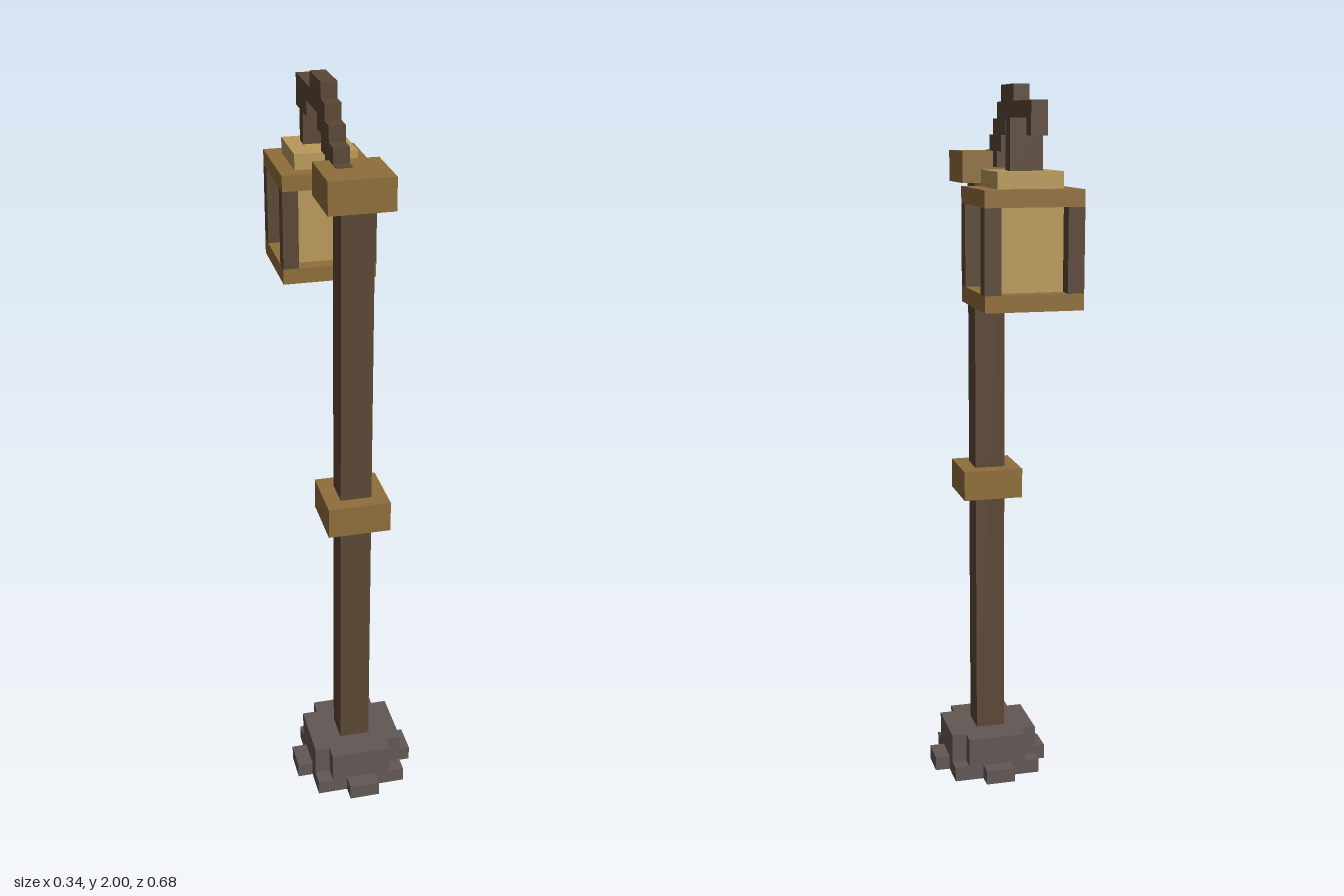
import * as THREE from 'three';

// Everything sits on a cubic grid, 47 cells tall
const U = 2 / 47;

function material(name, color) {
  const m = new THREE.MeshStandardMaterial({ color });
  m.name = name;
  return m;
}

export function createModel() {
  const wood = material('dark wood', 0x5a4735);
  const brass = material('brass', 0x8f6e3a);
  const glow = material('lantern glow', 0xb99a5a);
  const stone = material('stone', 0x625855);

  const model = new THREE.Group();
  model.name = 'lampPost';

  // Box given by its cell ranges along each axis
  function block(parent, name, mat, [x0, x1], [y0, y1], [z0, z1]) {
    const geometry = new THREE.BoxGeometry((x1 - x0) * U, (y1 - y0) * U, (z1 - z0) * U);
    const mesh = new THREE.Mesh(geometry, mat);
    mesh.name = name;
    mesh.position.set((x0 + x1) / 2 * U, (y0 + y1) / 2 * U, (z0 + z1) / 2 * U);
    parent.add(mesh);
  }
  function part(name) {
    const g = new THREE.Group();
    g.name = name;
    model.add(g);
    return g;
  }

  // Stepped stone foot: square slab, four toes and a cross-shaped upper course
  const base = part('base');
  block(base, 'slab', stone, [-3, 3], [0, 1], [1, 7]);
  block(base, 'sideToes', stone, [-4, 4], [0, 1], [3, 5]);
  block(base, 'endToes', stone, [-1, 1], [0, 1], [0, 8]);
  block(base, 'upperCourseWide', stone, [-3, 3], [1, 3], [2, 6]);
  block(base, 'upperCourseDeep', stone, [-2, 2], [1, 3], [1, 7]);

  // Post with two brass collars
  const post = part('post');
  block(post, 'shaft', wood, [-1, 1], [3, 41], [3, 5]);
  block(post, 'middleCollar', brass, [-2, 2], [20, 22], [2, 6]);
  block(post, 'topCollar', brass, [-2, 2], [41, 43], [2, 6]);

  // Stair-stepped arm: [y range, z range] of each step
  const arm = part('arm');
  const steps = [
    [[42, 43.05], [3, 3.75]],
    [[42, 44], [2, 3]],
    [[42, 45], [1, 2]],
    [[43, 46], [0, 1]],
    [[44, 47], [-1, 0]],
    [[45, 47], [-3, -1]],
    [[45, 46], [-4, -3]],
    [[44, 46], [-7, -4]],
  ];
  for (const [y, z] of steps) block(arm, 'armStep', wood, [-1, 0], y, z);
  block(arm, 'hanger', wood, [-1, 1], [42, 45], [-6, -5]);

  // Lantern: glowing core inside a frame with four corner bars
  const lantern = part('lantern');
  block(lantern, 'bottomFrame', brass, [-3, 3], [34, 35], [-8, -2]);
  block(lantern, 'topFrame', brass, [-3, 3], [40, 41], [-8, -2]);
  block(lantern, 'glass', glow, [-2, 2], [35, 40], [-7, -3]);
  block(lantern, 'cap', glow, [-2, 2], [41, 42], [-7, -3]);
  for (const x of [-3, 2]) {
    for (const z of [-8, -3]) block(lantern, 'cornerBar', wood, [x, x + 1], [35, 40], [z, z + 1]);
  }

  return model;
}
